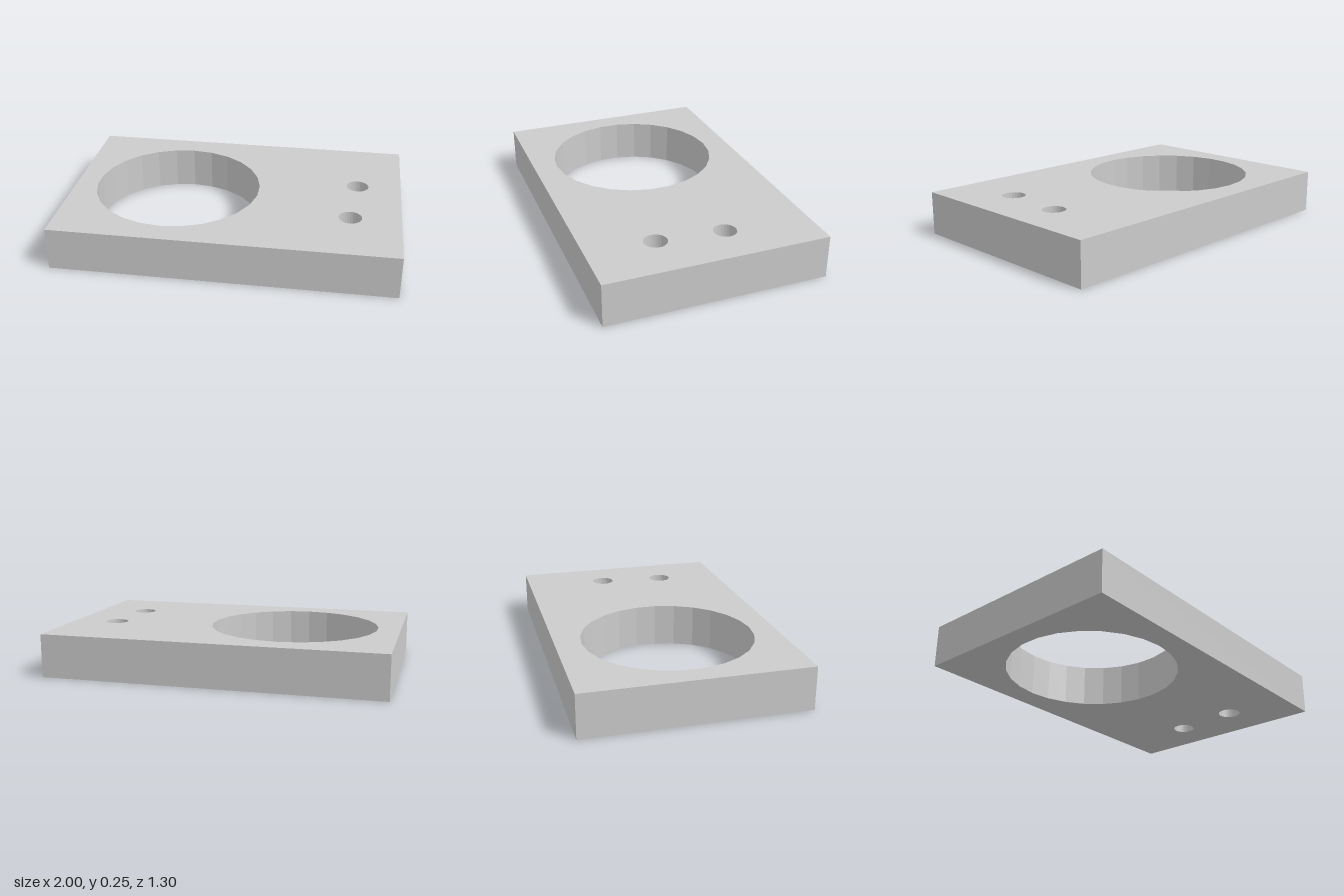
import * as THREE from 'three';

const WIDTH = 2, DEPTH = 1.3, HEIGHT = 0.255, SIDES = 26;

// Faceted round hole at plan position (x, z), with corners on the z axis
function roundHole(x, z, radius) {
  const points = [];
  for (let i = 0; i < SIDES; i++) {
    const a = Math.PI / 2 - (i / SIDES) * Math.PI * 2;
    points.push(new THREE.Vector2(x + radius * Math.cos(a), -z + radius * Math.sin(a)));
  }
  return new THREE.Path(points);
}

export function createModel() {
  const group = new THREE.Group();
  group.name = 'drilledBlock';

  // Rectangular outline of the plate
  const w = WIDTH / 2, d = DEPTH / 2;
  const outline = new THREE.Shape([
    new THREE.Vector2(-w, -d),
    new THREE.Vector2(w, -d),
    new THREE.Vector2(w, d),
    new THREE.Vector2(-w, d),
  ]);

  // Large bore and two small bolt holes
  outline.holes.push(
    roundHole(-0.364, 0.004, 0.504),
    roundHole(0.736, -0.146, 0.067),
    roundHole(0.704, 0.25, 0.068),
  );

  // Extrude upward from the ground
  const geometry = new THREE.ExtrudeGeometry(outline, { depth: HEIGHT, bevelEnabled: false });
  geometry.rotateX(-Math.PI / 2);

  const plate = new THREE.Mesh(
    geometry,
    new THREE.MeshStandardMaterial({ color: 0xcccccc, flatShading: true }),
  );
  plate.name = 'plate';
  group.add(plate);
  return group;
}
